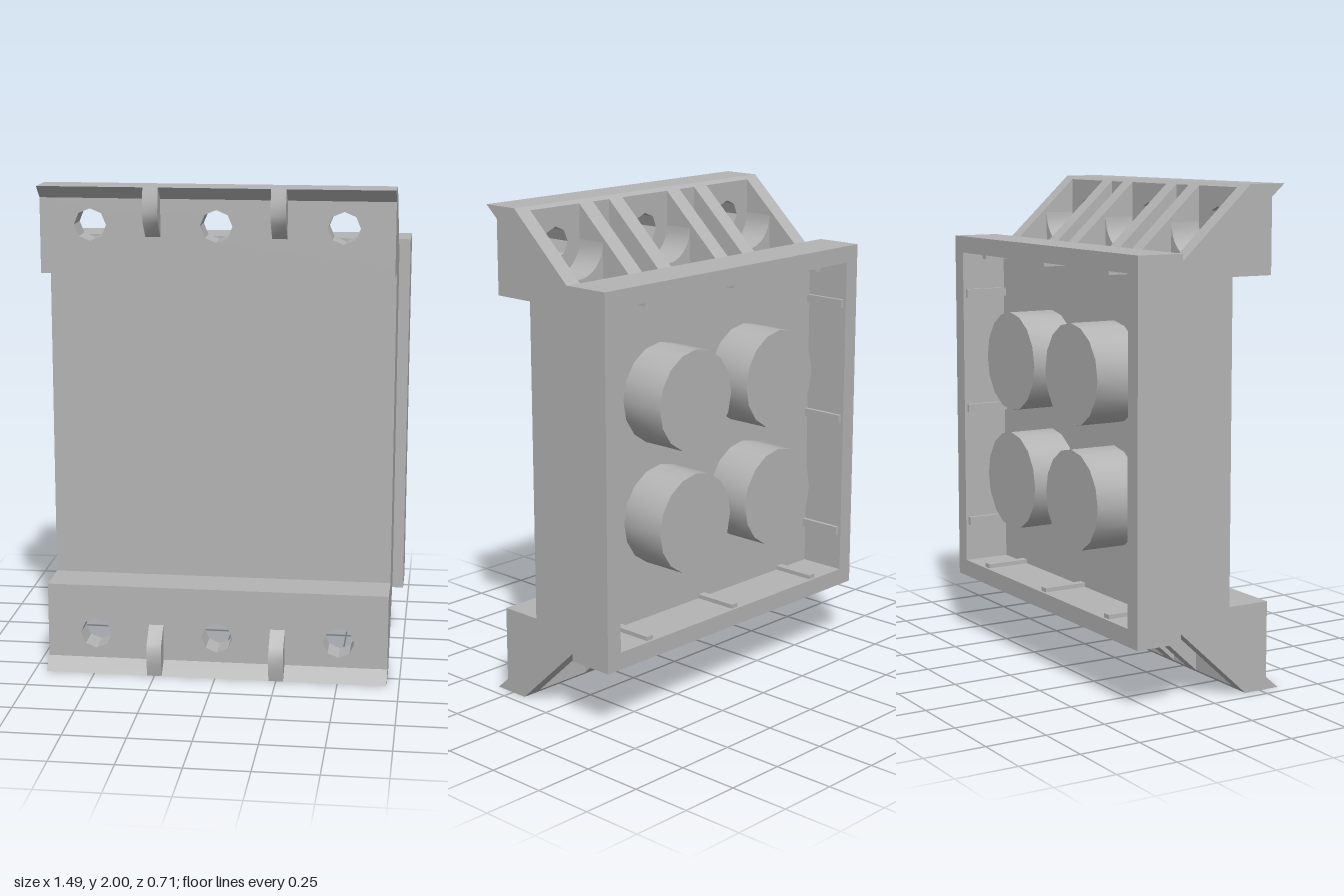
import * as THREE from 'three';
import { toCreasedNormals } from 'three/addons/utils/BufferGeometryUtils.js';

const grey = new THREE.MeshStandardMaterial({ color: 0xb4b4b4 });
grey.name = 'light grey';

function add(parent, name, geometry) {
  const mesh = new THREE.Mesh(toCreasedNormals(geometry, 0.6), grey);
  mesh.name = name;
  parent.add(mesh);
  return mesh;
}

const polygon = (pts) => new THREE.Shape(pts.map(([a, b]) => new THREE.Vector2(a, b)));

const rect = (x0, x1, y0, y1) => polygon([[x0, y0], [x1, y0], [x1, y1], [x0, y1]]);

// Side profile given as [z, y], swept from x0 to x1
function sweepX(pts, x0, x1) {
  const g = new THREE.ExtrudeGeometry(polygon(pts), { depth: x1 - x0, bevelEnabled: false });
  return g.rotateY(-Math.PI / 2).translate(x1, 0, 0);
}

// Front outline in x and y, swept from z0 to z1
function sweepZ(shape, z0, z1, curveSegments) {
  const g = new THREE.ExtrudeGeometry(shape, { depth: z1 - z0, bevelEnabled: false, curveSegments });
  return g.translate(0, 0, z0);
}

const columns = [-0.5, 0, 0.5];
const holeY = 1.845;

// Sloped upper end: pierced front wall, lip, pockets and dividers
function createEnd() {
  const end = new THREE.Group();

  const wall = rect(-0.7, 0.7, 1.7, 1.95);
  for (const x of columns) {
    const hole = new THREE.Path();
    hole.absarc(x, holeY, 0.064, 0, Math.PI * 2, true);
    wall.holes.push(hole);
  }
  add(end, 'piercedWall', sweepZ(wall, 0.165, 0.28, 4));

  add(end, 'lip', sweepX(
    [[0.165, 1.95], [0.28, 1.95], [0.338, 2], [0.18, 2], [0.165, 1.986]], -0.7, 0.7));

  // Solid dividers between the pockets
  const dividers = [[0.63, 0.7], [0.295, 0.37], [0.13, 0.205]];
  for (const [a, b] of dividers) {
    for (const [x0, x1] of [[a, b], [-b, -a]]) {
      add(end, 'divider', sweepX([[-0.145, 1.7], [0.165, 1.7], [0.165, 1.986]], x0, x1));
    }
  }

  // Rounded seats around the holes at the front of the wide pockets
  for (const x of columns) {
    const seat = new THREE.Shape();
    seat.moveTo(x - 0.13, 1.7);
    seat.lineTo(x + 0.13, 1.7);
    seat.lineTo(x + 0.13, holeY);
    seat.absarc(x, holeY, 0.13, 0, -Math.PI, true);
    add(end, 'pocketSeat', sweepZ(seat, 0.035, 0.165, 8));
  }

  // Small clips on the front of the lip
  for (const x of [-0.25, 0.25]) {
    add(end, 'clip', sweepX(
      [[0.28, 1.8], [0.34, 1.86], [0.354, 1.9], [0.35, 1.95], [0.338, 2], [0.28, 2]],
      x - 0.03, x + 0.03));
  }
  return end;
}

export function createModel() {
  const model = new THREE.Group();
  model.name = 'panel';

  // Central slab with the two forward steps
  add(model, 'body', sweepX([
    [0.1, 0.36], [0.1, 1.65], [0.28, 1.65], [0.28, 1.7], [-0.145, 1.7], [-0.155, 1.69],
    [-0.155, 0.31], [-0.145, 0.3], [0.28, 0.3], [0.28, 0.36],
  ], -0.7, 0.7));

  const upper = createEnd();
  upper.name = 'upperEnd';
  const lower = createEnd();
  lower.name = 'lowerEnd';
  lower.rotation.z = Math.PI;
  lower.position.y = 2;
  model.add(upper, lower);

  // Hollow frame at the back
  const cy = 1.005;
  const frame = rect(-0.745, 0.745, cy - 0.745, cy + 0.745);
  frame.holes.push(rect(-0.675, 0.675, cy - 0.675, cy + 0.675));
  add(model, 'backFrame', sweepZ(frame, -0.352, -0.155));

  // Four round posts inside the frame
  for (const x of [-0.25, 0.25]) {
    for (const y of [-0.25, 0.25]) {
      const post = new THREE.CylinderGeometry(0.204, 0.204, 0.197, 16).rotateX(Math.PI / 2);
      add(model, 'post', post.translate(x, cy + y, -0.2535));
    }
  }

  // Thin ribs on the inner walls of the frame
  for (const c of columns) {
    for (const side of [-1, 1]) {
      add(model, 'frameRib', new THREE.BoxGeometry(0.02, 0.035, 0.185))
        .position.set(side * 0.668, cy + c, -0.2475);
      add(model, 'frameRib', new THREE.BoxGeometry(0.035, 0.02, 0.185))
        .position.set(c, cy + side * 0.668, -0.2475);
    }
  }
  return model;
}
